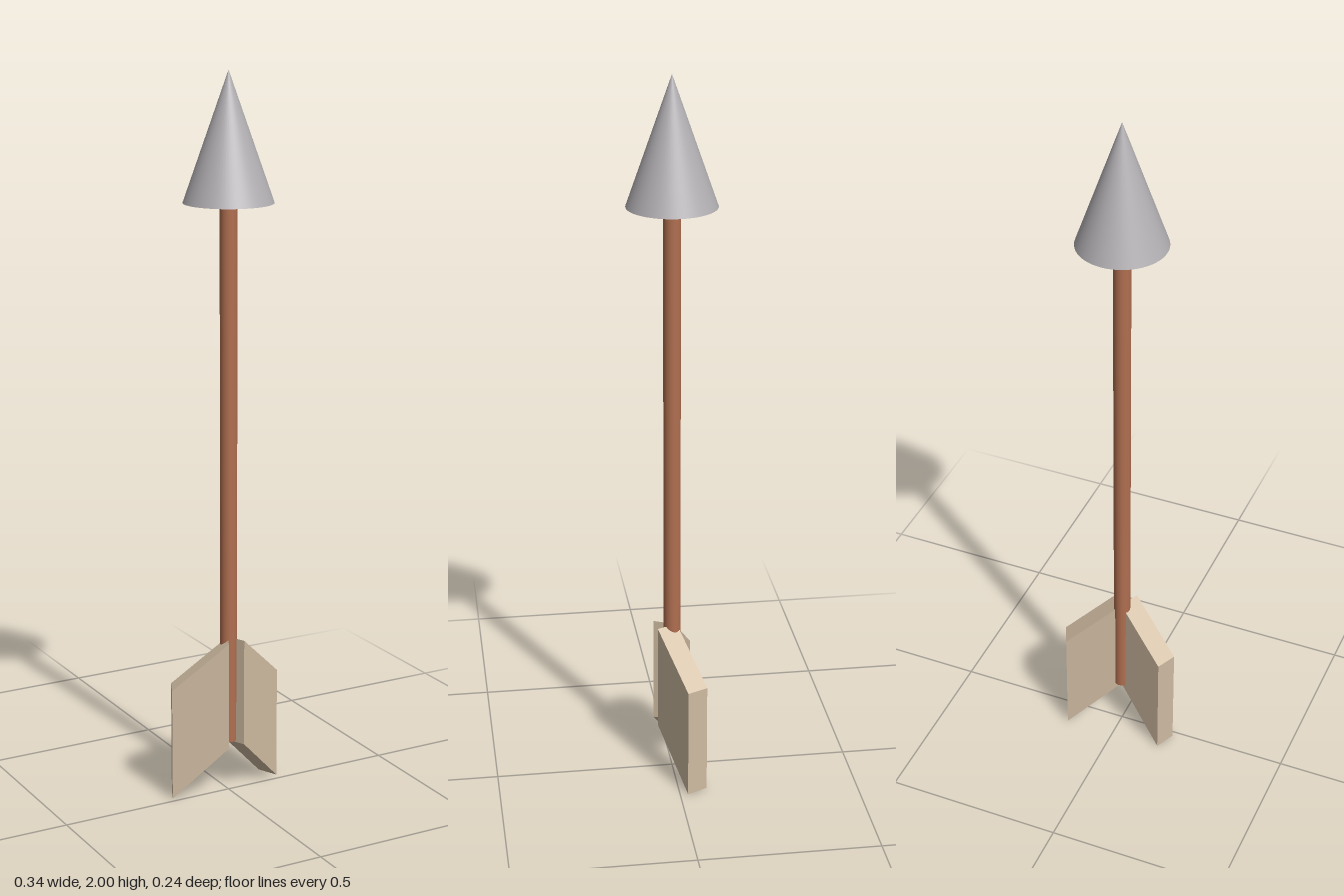
import * as THREE from 'three';

export function createModel() {
  const model = new THREE.Group();
  const steel = new THREE.MeshStandardMaterial({ color: 0xb3b0b3 });
  steel.name = 'steel grey';
  const wood = new THREE.MeshStandardMaterial({ color: 0xb06f50 });
  wood.name = 'wood brown';
  const feather = new THREE.MeshStandardMaterial({ color: 0xcfbba1 });
  feather.name = 'feather beige';

  const add = (name, geometry, material) => {
    const mesh = new THREE.Mesh(geometry, material);
    mesh.name = name;
    model.add(mesh);
    return mesh;
  };

  // Pointed head and round shaft
  add('arrowhead', new THREE.ConeGeometry(0.121, 0.345, 64), steel).position.y = 1.8275;
  add('shaft', new THREE.CylinderGeometry(0.0235, 0.0235, 1.53, 32), wood).position.y = 0.915;

  // Slanted vane outline: x runs outward from the shaft
  const outline = new THREE.Shape([
    new THREE.Vector2(0.005, 0.145),
    new THREE.Vector2(0.162, 0),
    new THREE.Vector2(0.162, 0.318),
    new THREE.Vector2(0.005, 0.45),
  ]);
  const thickness = 0.062;
  const sweep = THREE.MathUtils.degToRad(24.7);

  // Two vanes swept towards the back, set mostly in front of their centre lines
  for (const side of [1, -1]) {
    const geometry = new THREE.ExtrudeGeometry(outline, { depth: thickness, bevelEnabled: false });
    geometry.translate(0, 0, side > 0 ? -0.012 : 0.012 - thickness);
    const vane = add(side > 0 ? 'leftVane' : 'rightVane', geometry, feather);
    vane.rotation.y = side > 0 ? sweep : Math.PI - sweep;
    vane.position.z = side > 0 ? 0 : 0.006;
  }
  return model;
}
